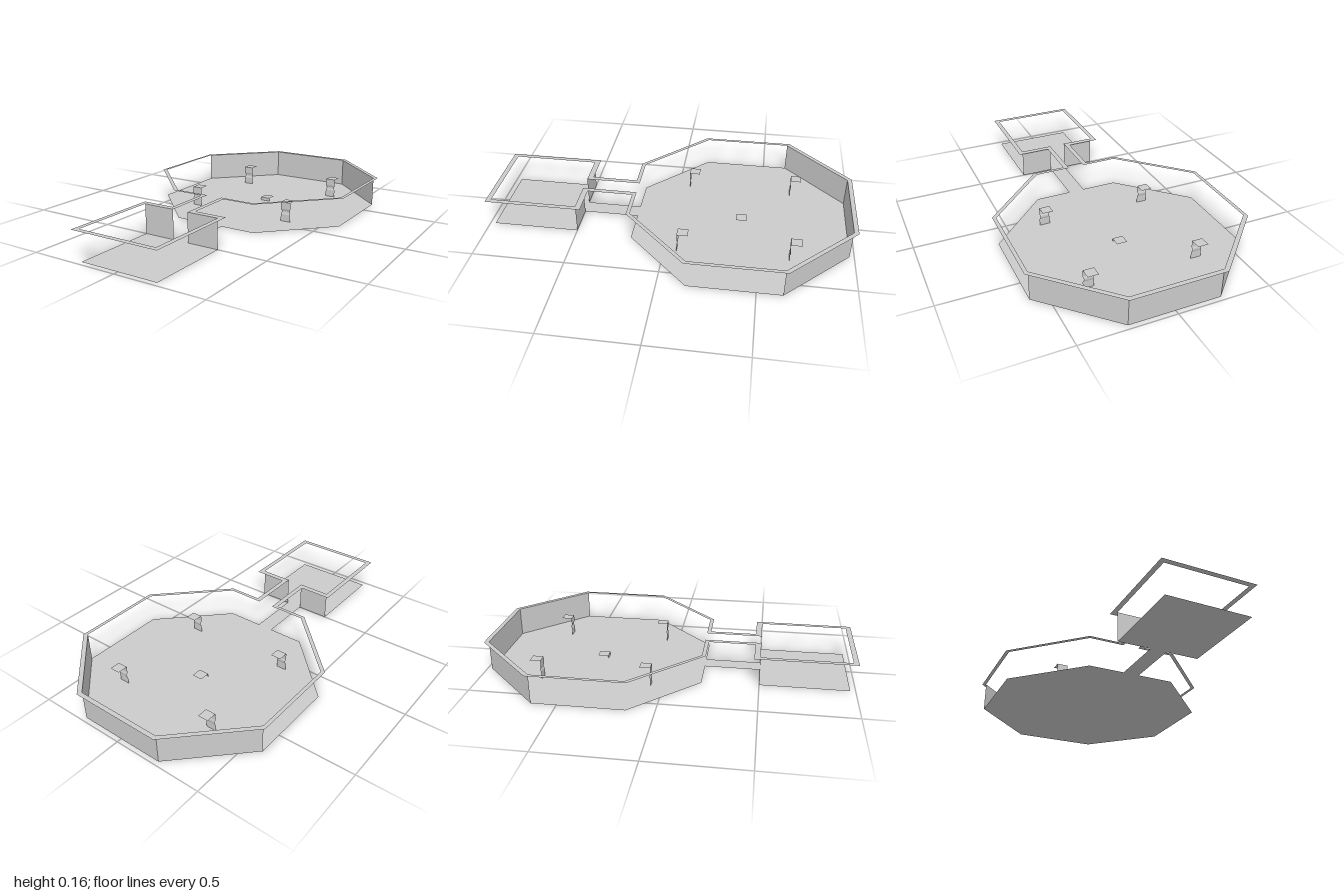
import * as THREE from 'three';

const WALL_H = 0.163;
const material = new THREE.MeshStandardMaterial({
  color: 0xcccccc, flatShading: true, side: THREE.DoubleSide,
});

// Right half of each plan outline as [x, z], from back to front
const INNER = [[0.243, -0.975], [0.585, -0.633], [0.585, -0.147], [0.243, 0.195],
  [0.045, 0.195], [0.045, 0.5], [0.225, 0.5], [0.225, 0.972]];
const OUTER = [[0.252, -1], [0.605, -0.647], [0.605, -0.137], [0.252, 0.216],
  [0.072, 0.216], [0.072, 0.468], [0.252, 0.468], [0.252, 1]];

// Mirror a half outline into a closed plan (shape y = -z)
function plan(half) {
  const mirrored = half.map(([x, z]) => [-x, z]).reverse();
  return [...half, ...mirrored].map(([x, z]) => new THREE.Vector2(x, -z));
}

function addMesh(parent, name, geometry) {
  const mesh = new THREE.Mesh(geometry, material);
  mesh.name = name;
  parent.add(mesh);
  return mesh;
}

// Flat horizontal sheet from a shape
function sheet(shape, y) {
  return new THREE.ShapeGeometry(shape).rotateX(-Math.PI / 2).translate(0, y, 0);
}

// Upright wall panel between two plan points
function addWall(parent, name, [x1, z1], [x2, z2]) {
  const length = Math.hypot(x2 - x1, z2 - z1);
  const wall = addMesh(parent, name, new THREE.PlaneGeometry(length, WALL_H));
  wall.position.set((x1 + x2) / 2, WALL_H / 2, (z1 + z2) / 2);
  wall.rotation.y = Math.atan2(z1 - z2, x2 - x1);
}

// Square post: a front panel, optionally with a narrow waist, under a flat cap
function makePost(name, height, waisted) {
  const half = 0.029;
  const post = new THREE.Group();
  post.name = name;
  const levels = waisted ? [0, 0.04, 0.05, 0.06, 0.07, height] : [0, height];
  const panel = new THREE.PlaneGeometry(1, 1, 1, levels.length - 1);
  const p = panel.attributes.position;
  for (let i = 0; i < p.count; i++) {
    const row = levels.length - 1 - Math.floor(i / 2);
    const r = waisted && (row === 2 || row === 3) ? half - 0.004 : half;
    p.setXYZ(i, Math.sign(p.getX(i)) * r, levels[row], r);
  }
  panel.computeVertexNormals();
  addMesh(post, 'postFront', panel);
  addMesh(post, 'postCap',
    new THREE.PlaneGeometry(half * 2, half * 2).rotateX(-Math.PI / 2).translate(0, height, 0));
  return post;
}

export function createModel() {
  const model = new THREE.Group();
  model.name = 'octagonalRoom';

  // Floor of hall, corridor and small room
  addMesh(model, 'floor', sheet(new THREE.Shape(plan(INNER)), 0));

  // Flat rim along the wall tops
  const rim = new THREE.Shape(plan(OUTER));
  rim.holes.push(new THREE.Path(plan(INNER)));
  addMesh(model, 'wallTopRim', sheet(rim, WALL_H));

  // Walls: back of the hall, its two back diagonals, and the back of the small room
  const [backCorner, sideCorner] = INNER;
  addWall(model, 'backWall', [-backCorner[0], backCorner[1]], backCorner);
  for (const s of [-1, 1]) {
    const flip = ([x, z]) => [s * x, z];
    const ends = [[backCorner, sideCorner], [INNER[5], INNER[6]]];
    ['backDiagonalWall', 'smallRoomBackWall'].forEach((name, i) => {
      const [a, b] = ends[i].map(flip);
      if (s > 0) addWall(model, name, a, b);
      else addWall(model, name, b, a);
    });
  }

  // Four posts around a low central block
  for (const x of [-0.297, 0.297]) {
    for (const dz of [-0.297, 0.297]) {
      const post = makePost('post', 0.109, true);
      post.position.set(x, 0, -0.393 + dz);
      model.add(post);
    }
  }
  const block = makePost('centreBlock', 0.018, false);
  block.position.z = -0.393;
  model.add(block);

  return model;
}
